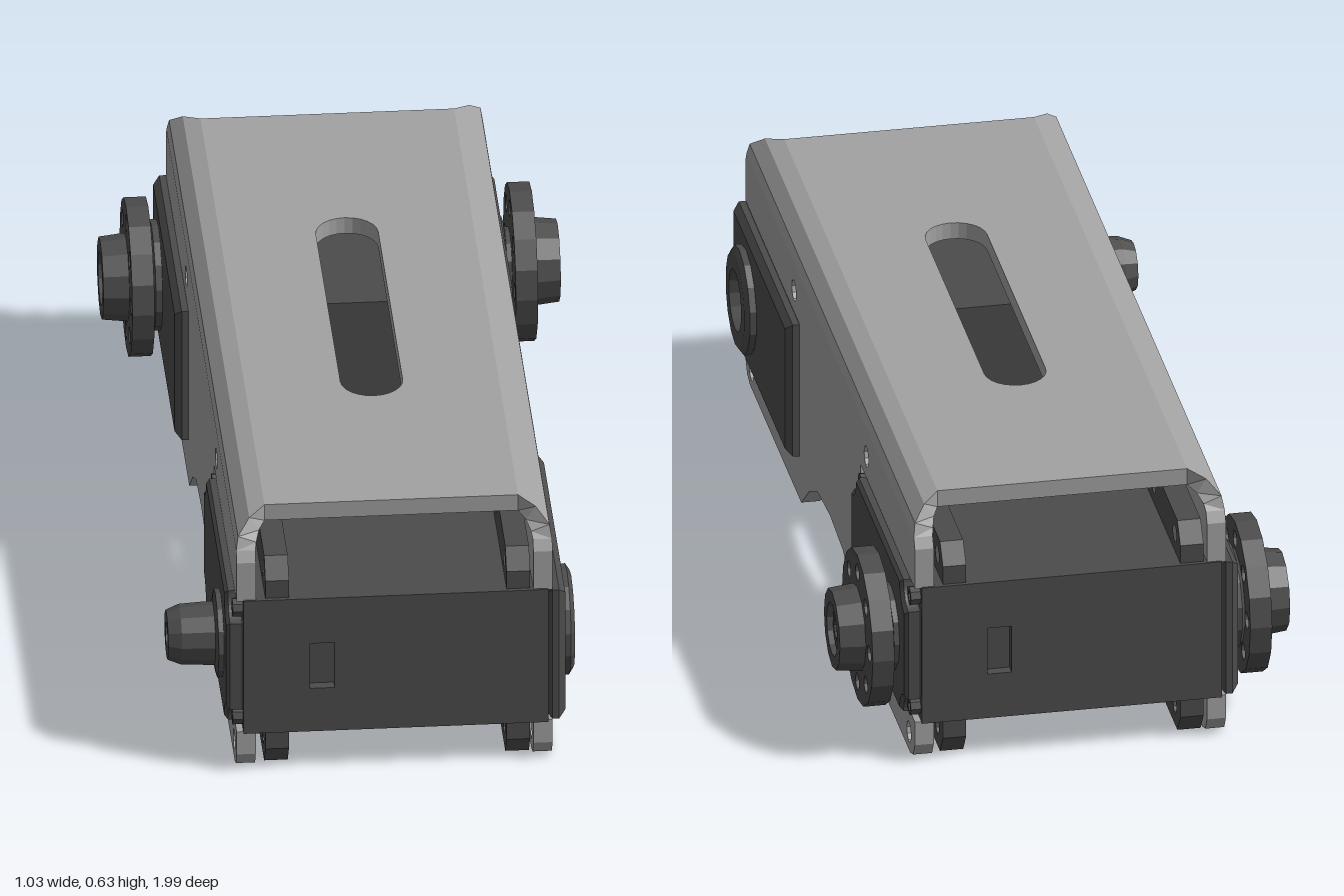
import * as THREE from 'three';

const metal = new THREE.MeshStandardMaterial({ color: 0xa2a2a2, flatShading: true });
const plastic = new THREE.MeshStandardMaterial({ color: 0x4c4c4c, flatShading: true });

const AXIS_Y = 0.27, AXIS_Z = 0.825;

function part(name, geometry, material = plastic) {
  const mesh = new THREE.Mesh(geometry, material);
  mesh.name = name;
  return mesh;
}

function box(x0, x1, y0, y1, z0, z1) {
  return new THREE.BoxGeometry(x1 - x0, y1 - y0, z1 - z0)
    .translate((x0 + x1) / 2, (y0 + y1) / 2, (z0 + z1) / 2);
}

function polygon(points) {
  return new THREE.Shape(points.map(([a, b]) => new THREE.Vector2(a, b)));
}

function addHole(shape, a, b, r) {
  const hole = new THREE.Path();
  hole.absarc(a, b, r, 0, Math.PI * 2, true);
  shape.holes.push(hole);
}

// Extrudes a (z, y) outline across x from x0 to x1
function slab(shape, x0, x1, bevel = 0) {
  return new THREE.ExtrudeGeometry(shape, {
    depth: x1 - x0 - bevel * 2, curveSegments: 5,
    bevelEnabled: bevel > 0, bevelSize: bevel, bevelThickness: bevel, bevelOffset: -bevel, bevelSegments: 1,
  }).rotateY(-Math.PI / 2).translate(x1 - bevel, 0, 0);
}

// Turned part whose axis points along +z
function turned(points, sides = 12) {
  return new THREE.LatheGeometry(points.map(([r, h]) => new THREE.Vector2(r, h)), sides).rotateX(Math.PI / 2);
}

// Places a part so that its +z axis points out of the left (1) or right (-1) side
function onSide(object, side, x, z, y = AXIS_Y) {
  object.rotation.y = side * Math.PI / 2;
  object.position.set(side * x, y, z);
  return object;
}

// Rounded bend between side wall and top, with ends that sweep back
function bendGeometry() {
  const ring = [ // x, y, half length
    [0.355, 0.56, 0.972], [0.35, 0.59, 0.96], [0.322, 0.618, 0.925], [0.285, 0.63, 0.89],
    [0.285, 0.59, 0.89], [0.3, 0.585, 0.925], [0.309, 0.574, 0.96], [0.312, 0.56, 0.972],
  ];
  const n = ring.length, positions = [], index = [];
  for (const end of [1, -1]) for (const [x, y, z] of ring) positions.push(x, y, z * end);
  for (let i = 0; i < n; i++) {
    const j = (i + 1) % n;
    index.push(i, n + i, j, j, n + i, n + j);
  }
  for (let i = 0; i < 3; i++) {
    const a = i, b = i + 1, c = n - 2 - i, d = n - 1 - i;
    index.push(a, b, c, a, c, d, n + a, n + c, n + b, n + a, n + d, n + c);
  }
  const geometry = new THREE.BufferGeometry();
  geometry.setAttribute('position', new THREE.Float32BufferAttribute(positions, 3));
  geometry.setIndex(index);
  geometry.computeVertexNormals();
  return geometry;
}

// Side wall with an arch below and a window at each end
function wallGeometry() {
  const half = [
    [0.15, 0.12], [0.24, 0.075], [0.335, 0], [0.93, 0], [0.965, 0.012], [0.985, 0.045], [0.985, 0.103],
    [0.355, 0.103], [0.355, 0.437], [0.985, 0.437], [0.985, 0.535], [0.972, 0.56],
  ];
  const mirrored = half.map(([z, y]) => [-z, y]).reverse();
  const shape = polygon([[0, 0.133], ...half, ...mirrored]);
  for (const s of [1, -1]) {
    addHole(shape, s * 0.42, 0.49, 0.025);
    addHole(shape, s * 0.915, 0.045, 0.025);
  }
  return slab(shape, 0.312, 0.355);
}

function createBracket() {
  const bracket = new THREE.Group();
  bracket.name = 'bracket';
  const top = polygon([[-0.285, -0.89], [0.285, -0.89], [0.285, 0.89], [-0.285, 0.89]]);
  const slot = new THREE.Path();
  slot.absarc(0, 0.34, 0.07, 0, Math.PI, false);
  slot.absarc(0, -0.34, 0.07, Math.PI, Math.PI * 2, false);
  slot.closePath();
  top.holes.push(slot);
  const plate = new THREE.ExtrudeGeometry(top, { depth: 0.04, bevelEnabled: false, curveSegments: 6 })
    .rotateX(Math.PI / 2).translate(0, 0.63, 0);
  bracket.add(part('topPlate', plate, metal));
  for (const side of ['left', 'right']) {
    const half = new THREE.Group();
    half.name = side + 'Side';
    half.add(part('sideWall', wallGeometry(), metal), part('bend', bendGeometry(), metal));
    if (side === 'right') half.rotation.y = Math.PI;
    bracket.add(half);
  }
  return bracket;
}

function createServo(name) {
  const servo = new THREE.Group();
  servo.name = name;
  const z0 = 0.358, z1 = 0.985, y0 = 0.105, y1 = 0.435;
  servo.add(part('servoBody', box(-0.34, 0.345, 0.1, 0.44, z0, 0.965)));

  // End panel with a connector recess
  const face = polygon([[-0.34, 0.1], [0.345, 0.1], [0.345, 0.44], [-0.34, 0.44]]);
  face.holes.push(new THREE.Path([[-0.19, 0.21], [-0.19, 0.325], [-0.135, 0.325], [-0.135, 0.21]]
    .map(([x, y]) => new THREE.Vector2(x, y))));
  servo.add(part('connectorPanel',
    new THREE.ExtrudeGeometry(face, { depth: 0.025, bevelEnabled: false }).translate(0, 0, 0.965)));

  // Plain cap on one side, notched cap with corner screws on the other
  servo.add(part('plainCap', slab(polygon([[z0, y0], [z1, y0], [z1, y1], [z0, y1]]), 0.34, 0.385, 0.015)));
  const r = 0.055, notched = new THREE.Shape();
  notched.moveTo(z0 + r, y0);
  notched.lineTo(z1 - r, y0);
  notched.absarc(z1, y0, r, Math.PI, Math.PI / 2, true);
  notched.absarc(z1, y1, r, -Math.PI / 2, -Math.PI, true);
  notched.absarc(z0, y1, r, 0, -Math.PI / 2, true);
  notched.absarc(z0, y0, r, Math.PI / 2, 0, true);
  servo.add(part('notchedCap', slab(notched, -0.378, -0.335, 0.008)));
  for (const z of [z0 + 0.027, z1 - 0.027]) for (const y of [y0 + 0.027, y1 - 0.027]) {
    const screw = turned([[0.022, 0], [0.022, 0.025], [0.012, 0.025], [0.01, 0.012], [0, 0.012]], 8);
    servo.add(onSide(part('cornerScrew', screw), -1, 0.338, z, y));
  }

  // Mounting ears above and below the body
  for (const [x0, x1] of [[-0.29, -0.237], [0.252, 0.305]]) {
    for (const [base, tip] of [[0.102, 0.005], [0.438, 0.53]]) {
      const k = base + (tip - base) * 0.5;
      const ear = polygon([[0.36, base], [0.36, k], [0.4, tip], [0.945, tip], [0.98, k], [0.98, base]]);
      for (const z of [0.42, 0.67, 0.915]) addHole(ear, z, (base + tip) / 2, 0.02);
      servo.add(part('mountingEar', slab(ear, x0, x1)));
    }
  }

  // Output shaft and, opposite, the bearing boss with a hollow centre
  const shaft = turned([[0.1, 0], [0.1, 0.02], [0.072, 0.025], [0.068, 0.1], [0.056, 0.13],
    [0.03, 0.13], [0.03, 0.1], [0, 0.1]]);
  servo.add(onSide(part('outputShaft', shaft), -1, 0.37, AXIS_Z));
  const boss = turned([[0.125, 0], [0.125, 0.02], [0.11, 0.03], [0.072, 0.03], [0.065, 0.006], [0, 0.006]], 14);
  servo.add(onSide(part('bearingBoss', boss), 1, 0.38, AXIS_Z));
  return servo;
}

function createHorn(name) {
  const horn = new THREE.Group();
  horn.name = name;
  const outline = new THREE.Shape();
  outline.absarc(0, 0, 0.18, 0, Math.PI * 2, false);
  for (let i = 0; i < 8; i++) {
    const a = i * Math.PI / 4;
    addHole(outline, 0.137 * Math.cos(a), 0.137 * Math.sin(a), 0.02);
  }
  const disc = new THREE.ExtrudeGeometry(outline, { depth: 0.05, bevelEnabled: false, curveSegments: 8 });
  horn.add(part('hornDisc', disc));
  horn.add(part('hornNeck', turned([[0.08, -0.04], [0.08, 0.01]])));
  horn.add(part('hornHub', turned([[0.1, 0.045], [0.093, 0.108], [0.062, 0.108], [0.058, 0.08], [0, 0.08]])));
  horn.add(part('hornScrew', turned([[0.042, 0.08], [0.042, 0.095], [0.022, 0.1], [0.018, 0.088], [0, 0.088]], 8)));
  return horn;
}

export function createModel() {
  const model = new THREE.Group();
  model.name = 'doubleServoLink';
  const rear = createServo('rearServo');
  rear.rotation.y = Math.PI;
  model.add(createBracket(), createServo('frontServo'), rear);
  // The rear joint carries a horn on both sides
  model.add(onSide(createHorn('leftHorn'), 1, 0.404, -0.82));
  model.add(onSide(createHorn('rightHorn'), -1, 0.408, -0.82));
  return model;
}
